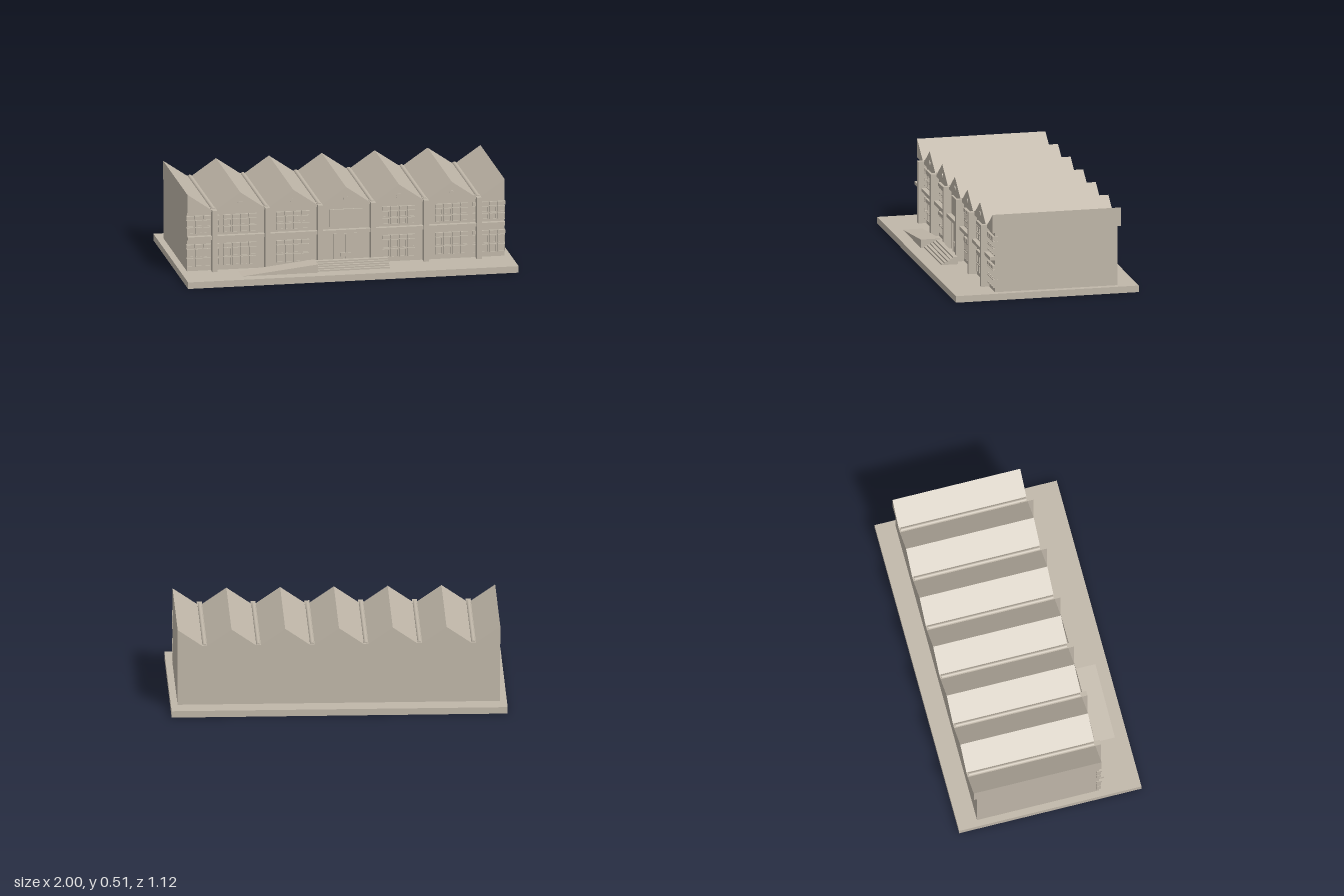
import * as THREE from 'three';

export function createModel() {
  const root = new THREE.Group();
  const stone = new THREE.MeshStandardMaterial({ color: 0xc0b7a9 });
  stone.name = 'warm stone';

  const add = (name, geo, parent = root) => {
    const m = new THREE.Mesh(geo, stone);
    m.name = name;
    parent.add(m);
    return m;
  };
  // Box given by its min and max on each axis
  const box = (name, x0, x1, y0, y1, z0, z1, parent = root) => {
    const m = add(name, new THREE.BoxGeometry(x1 - x0, y1 - y0, z1 - z0), parent);
    m.position.set((x0 + x1) / 2, (y0 + y1) / 2, (z0 + z1) / 2);
    return m;
  };
  const extrude = (points, depth, hole) => {
    const s = new THREE.Shape(points.map(([x, y]) => new THREE.Vector2(x, y)));
    if (hole) s.holes.push(new THREE.Path(hole.map(([x, y]) => new THREE.Vector2(x, y))));
    return new THREE.ExtrudeGeometry(s, { depth, bevelEnabled: false });
  };
  const rect = (w, h) => [[-w, -h], [w, -h], [w, h], [-w, h]];

  const WALL = 0.31, BAY = 0.32;

  // Plinth and main hall
  box('plinth', -1, 1, 0, 0.04, -0.56, 0.56);
  box('hall', -0.96, 0.96, 0.04, 0.405, -0.44, WALL);

  // Folded roof: ridges on the bay centres, flat valleys between
  const roofLine = [[-0.96, 0.402], [0.96, 0.402], [0.96, 0.515]];
  for (let i = 2; i >= -3; i--) {
    const v = (i + 0.5) * BAY;
    roofLine.push([v + 0.015, 0.415], [v - 0.015, 0.415], [i * BAY, 0.515]);
  }
  add('roof', extrude(roofLine, 0.785)).position.z = -0.46;

  // Pillars and valley gutters
  for (let i = -3; i < 3; i++) {
    const x = (i + 0.5) * BAY;
    box('pillar', x - 0.015, x + 0.015, 0.04, 0.418, 0.28, 0.36);
    const gutter = add('gutter', new THREE.CylinderGeometry(0.013, 0.013, 0.77, 16));
    gutter.rotation.x = Math.PI / 2;
    gutter.position.set(x, 0.411, -0.065);
  }

  // Floor band across the front
  box('floorBand', -0.96, 0.96, 0.235, 0.256, 0.3, 0.34);

  // Window banks: four framed columns, two panes high, with lintels
  const paneFrame = (w, h) => extrude(rect(w / 2, h / 2), 0.03, rect(w / 2 - 0.005, h / 2 - 0.005));
  const windowBank = (cx, y0, paneH) => {
    const bank = new THREE.Group();
    bank.name = 'windowBank';
    for (let c = 0; c < 4; c++) {
      const x = cx + (c - 1.5) * 0.051;
      for (let r = 0; r < 2; r++) {
        const y = y0 + paneH / 2 + r * (paneH + 0.006);
        add('windowFrame', paneFrame(0.043, paneH), bank).position.set(x, y, 0.292);
        box('pane', x - 0.017, x + 0.017, y - paneH / 2 + 0.004, y + paneH / 2 - 0.004, 0.3, 0.315, bank);
      }
      const top = y0 + 2 * paneH + 0.012;
      box('lintel', x - 0.023, x + 0.023, top, top + 0.022, 0.292, 0.326, bank);
    }
    root.add(bank);
  };
  for (const x of [-0.865, -0.64, -0.32, 0.32, 0.64, 0.865]) {
    windowBank(x, 0.27, 0.038);
    windowBank(x, 0.068, 0.051);
  }

  // Round gable ornaments
  for (let i = -2; i <= 2; i++) {
    const disc = add('gableDisc', new THREE.CylinderGeometry(0.018, 0.018, 0.01, 32));
    disc.rotation.x = Math.PI / 2;
    disc.position.set(i * BAY, 0.443, 0.324);
  }

  // Plain panel above the entrance
  box('entrancePanel', -0.1, 0.1, 0.27, 0.378, 0.3, 0.322);

  // Double door with frame, centre post and handles
  box('doorHead', -0.075, 0.075, 0.222, 0.23, 0.3, 0.325);
  for (const s of [-1, 1]) {
    const a = s * 0.038;
    box('doorJamb', s * 0.071 - 0.004, s * 0.071 + 0.004, 0.04, 0.23, 0.3, 0.325);
    box('doorLeaf', a - 0.031, a + 0.031, 0.04, 0.22, 0.3, 0.316);
    box('doorHandle', s * 0.018 - 0.014, s * 0.018 + 0.014, 0.088, 0.11, 0.31, 0.325);
  }
  box('doorPost', -0.004, 0.004, 0.04, 0.222, 0.3, 0.32);

  // Entrance steps
  for (let i = 0; i < 5; i++) {
    box('step', -0.2, 0.24, 0.04, 0.049 + i * 0.009, 0.365, 0.465 - i * 0.018);
  }

  // Access ramp
  add('ramp', extrude([[-0.66, 0.04], [-0.2, 0.04], [-0.2, 0.091]], 0.12)).position.z = 0.365;

  return root;
}
